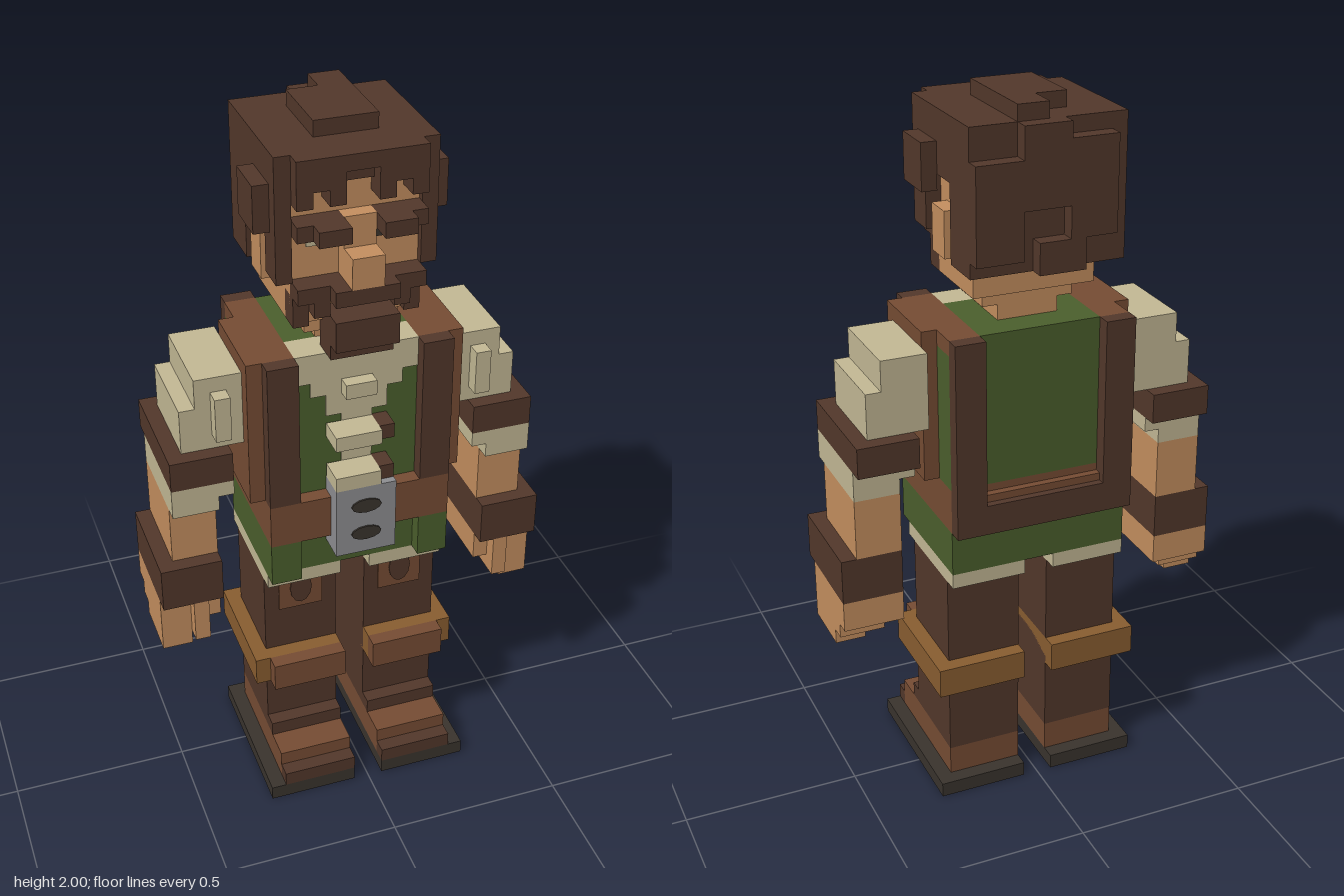
import * as THREE from 'three';

const U = 2 / 47; // one block

const mat = (name, color) => {
  const m = new THREE.MeshStandardMaterial({ color });
  m.name = name;
  return m;
};

export function createModel() {
  const dark = mat('dark brown', 0x53382b);
  const brown = mat('leather brown', 0x774d34);
  const gold = mat('tan strap', 0x8a5e31);
  const skin = mat('skin', 0xc69060);
  const cream = mat('cream cloth', 0xc5ba96);
  const green = mat('green cloth', 0x4c602d);
  const grey = mat('grey metal', 0x8f9093);
  const black = mat('black', 0x3a342e);

  const model = new THREE.Group();
  model.name = 'figure';
  const section = (name) => {
    const g = new THREE.Group();
    g.name = name;
    model.add(g);
    return g;
  };

  // Box from block bounds; z counts forward from the back of the model
  const box = (g, name, m, x0, x1, y0, y1, z0, z1) => {
    const mesh = new THREE.Mesh(new THREE.BoxGeometry((x1 - x0) * U, (y1 - y0) * U, (z1 - z0) * U), m);
    mesh.position.set((x0 + x1) / 2 * U, (y0 + y1) / 2 * U, ((z0 + z1) / 2 - 6.5) * U);
    mesh.name = name;
    g.add(mesh);
  };
  // The same box on both sides
  const pair = (g, name, m, x0, x1, ...rest) => {
    box(g, name + 'Left', m, x0, x1, ...rest);
    box(g, name + 'Right', m, -x1, -x0, ...rest);
  };
  // Thin rounded plate facing forward
  const oval = (g, name, m, x, y, rx, ry, z) => {
    const mesh = new THREE.Mesh(new THREE.CylinderGeometry(U, U, 0.006, 12), m);
    mesh.rotation.x = Math.PI / 2;
    mesh.scale.set(rx, 1, ry);
    mesh.position.set(x * U, y * U, (z - 6.5) * U);
    mesh.name = name;
    g.add(mesh);
  };

  // Boots and legs
  const legs = section('legs');
  pair(legs, 'sole', black, 1, 7, 0, 1, 2, 13);
  pair(legs, 'boot', brown, 1, 6, 1, 3, 3, 12);
  pair(legs, 'toeCap', dark, 1, 6, 1, 2, 12, 13);
  pair(legs, 'instep', dark, 1, 6, 3, 4, 9, 10);
  pair(legs, 'leg', dark, 1, 6, 3, 16, 3, 9);
  pair(legs, 'kneeStrap', gold, 1, 7, 8, 10, 2, 10);
  pair(legs, 'kneePad', brown, 1, 6, 8, 10, 10, 11);
  pair(legs, 'pocket', brown, 2, 5, 13.2, 16, 9, 9.1);
  for (const s of [-1, 1]) oval(legs, 'pocketPatch', dark, s * 3.5, 14.8, 0.75, 1.2, 9.12);

  // Shirt tail, skirt and belt
  const waist = section('waist');
  pair(waist, 'shirtTail', cream, 1, 6, 16, 17, 2, 10);
  box(waist, 'skirt', green, -6, 6, 17, 20, 2, 10);
  pair(waist, 'skirtCorner', green, 4, 6, 17, 20, 10, 11);
  box(waist, 'belt', brown, -6, 6, 20, 23, 2, 10);
  pair(waist, 'beltFront', brown, 2, 6, 20, 23, 10, 11);
  box(waist, 'buckle', grey, -2, 2, 19, 24, 10, 12);
  for (const y of [20.5, 22.6]) oval(waist, 'buckleHole', black, 0, y, 1, 0.5, 12.04);

  // Torso and vest
  const torso = section('torso');
  box(torso, 'body', green, -6, 6, 23, 31, 2, 10);
  pair(torso, 'upperSide', green, 4, 6, 31, 32, 2, 10);
  box(torso, 'upperBack', green, -4, 4, 31, 33, 2, 8);
  box(torso, 'collar', cream, -4, 4, 31, 33, 8, 10.1);
  box(torso, 'shirtStepWide', cream, -3, 3, 30, 31, 10, 10.1);
  box(torso, 'shirtStepNarrow', cream, -2, 2, 28.5, 30, 10, 10.1);
  box(torso, 'shirtFront', cream, -1, 1, 24, 28.5, 10, 10.1);
  for (const y of [24, 27]) {
    box(torso, 'lace', cream, -2, 1, y, y + 1, 10.1, 12);
    box(torso, 'laceEnd', dark, 1, 2, y, y + 1, 10, 11.5);
  }
  box(torso, 'collarLace', cream, -1, 1, 30, 31, 10.1, 11);
  pair(torso, 'shoulderStrap', brown, 4, 6, 32, 33, 2, 10);
  pair(torso, 'vestSide', brown, 6, 7, 23, 33, 4, 10);
  pair(torso, 'lapel', dark, 4, 6, 23, 33, 10, 11);
  pair(torso, 'backPost', dark, 4, 6, 20, 33, 1, 2);
  box(torso, 'backBar', dark, -4, 4, 20, 22, 1, 2);
  box(torso, 'backBarTop', brown, -4, 4, 22, 22.5, 1.5, 2);

  // Arms and hands
  const arms = section('arms');
  pair(arms, 'sleeveTop', cream, 7, 10, 30, 32, 3, 9);
  pair(arms, 'sleeve', cream, 7, 11, 27, 30, 3, 9);
  pair(arms, 'sleeveFold', cream, 8, 9, 28, 31, 9, 10);
  pair(arms, 'armBand', dark, 8, 12, 25, 27, 2, 10);
  pair(arms, 'sleeveHem', cream, 8, 12, 24, 25, 3, 10);
  pair(arms, 'sleeveEdge', cream, 9, 12, 23, 24, 3, 10);
  pair(arms, 'forearm', skin, 9, 12, 19, 23, 3, 9);
  pair(arms, 'cuff', dark, 9, 13, 16, 19, 3, 10);
  pair(arms, 'palm', skin, 9, 13, 14, 16, 3, 9);
  pair(arms, 'fingers', skin, 10, 13, 13, 14, 4, 9);
  pair(arms, 'fingertips', skin, 11, 13, 12, 13, 5, 9);
  pair(arms, 'thumb', skin, 10, 11, 13, 16, 9, 10);

  // Head and face
  const head = section('head');
  box(head, 'neck', skin, -2, 2, 33, 35, 4, 8);
  box(head, 'jaw', skin, -3, 3, 34, 35, 4, 9);
  box(head, 'face', skin, -4, 4, 35, 45, 3, 9.5);
  pair(head, 'ear', skin, 4, 5, 37, 40, 5, 7);
  box(head, 'noseBridge', skin, -1, 1, 40, 42, 9.5, 10.5);
  box(head, 'nose', skin, -1, 1, 38, 40, 9.5, 12);
  pair(head, 'eyeWhite', cream, 2, 3, 40, 41, 9.5, 9.6);
  pair(head, 'pupil', black, 1, 2, 40, 41, 9.5, 9.6);
  pair(head, 'brow', dark, 1, 3, 41, 42, 9.5, 12);
  pair(head, 'browEnd', dark, 3, 4, 41, 42, 9.5, 11);
  box(head, 'lip', brown, -1, 1, 36, 37, 9.5, 10);
  box(head, 'moustache', dark, -4, 4, 37, 38, 9.5, 11);
  box(head, 'moustacheFront', dark, -2, 2, 37, 38, 11, 12);
  pair(head, 'moustacheTip', dark, 2, 3, 36, 37, 9.5, 11);
  pair(head, 'beardSide', dark, 3, 4, 35, 37, 8.5, 10);
  box(head, 'beard', dark, -2, 2, 33, 36, 9, 11);
  box(head, 'beardFront', dark, -2, 2, 34, 36, 11, 12);

  // Hair
  const hair = section('hair');
  box(hair, 'crown', dark, -5, 5, 44, 46, 1, 10);
  box(hair, 'topTuft', dark, -2, 2, 46, 47, 3, 8);
  box(hair, 'topTuftBack', dark, 0, 2, 46, 47, 1, 3);
  pair(hair, 'sideHair', dark, 4, 5, 42, 44, 1, 10);
  pair(hair, 'backSide', dark, 4, 5, 37, 42, 1, 4);
  pair(hair, 'sideburn', dark, 4, 5, 38, 42, 8, 10);
  pair(hair, 'sideTuft', dark, 5, 6, 41, 44, 6, 9);
  box(hair, 'backHair', dark, -4, 4, 37, 44, 1, 3);
  box(hair, 'backLockRight', dark, -4, -1, 39, 45, 0, 1);
  box(hair, 'backLockMiddle', dark, -1, 2, 41, 46, 0, 1);
  box(hair, 'backLockLeft', dark, 2, 5, 38, 44, 0, 1);
  box(hair, 'backLockLow', dark, -2, 1, 37, 39, 0, 1);
  pair(hair, 'fringe', dark, 1, 4, 44, 46, 10, 11);
  box(hair, 'fringeMiddle', dark, -1, 1, 45, 46, 10, 11);
  pair(hair, 'fringeCorner', dark, 3, 4, 43, 44, 9.5, 11);
  pair(hair, 'fringeLock', dark, 1, 2, 43, 44, 9.5, 11);
  return model;
}
